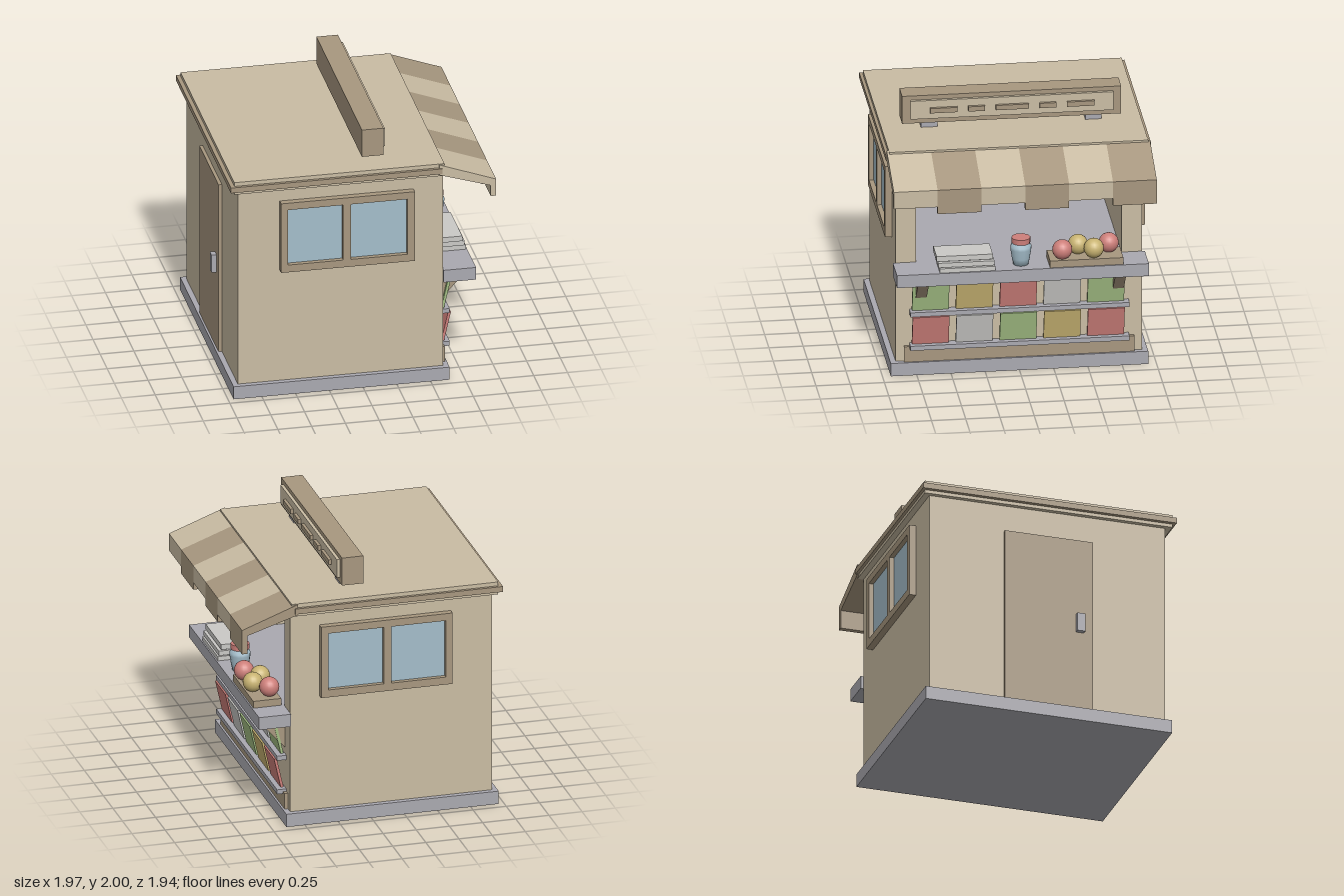
import * as THREE from 'three';

const mat = (name, color) => {
  const m = new THREE.MeshStandardMaterial({ color });
  m.name = name;
  return m;
};

export function createModel() {
  const wall = mat('tan wall', 0xc9bca3), trim = mat('brown trim', 0xa7977f);
  const grey = mat('grey slab', 0xaaa9b0), glass = mat('blue glass', 0xa4bdca);
  const red = mat('red', 0xcd7f7a), green = mat('green', 0xa3be84);
  const yellow = mat('yellow', 0xc8b372), white = mat('paper white', 0xcac9c6);

  const root = new THREE.Group();
  root.name = 'kiosk';
  const add = (name, geo, material, parent = root) => {
    const m = new THREE.Mesh(geo, material);
    m.name = name;
    parent.add(m);
    return m;
  };
  // Box given by its limits on each axis
  const box = (name, material, x0, x1, y0, y1, z0, z1, parent) => {
    const m = add(name, new THREE.BoxGeometry(x1 - x0, y1 - y0, z1 - z0), material, parent);
    m.position.set((x0 + x1) / 2, (y0 + y1) / 2, (z0 + z1) / 2);
    return m;
  };
  // Profile in x and y, extruded along z
  const prism = (name, material, pts, z0, z1) => {
    const shape = new THREE.Shape(pts.map(p => new THREE.Vector2(...p)));
    const geo = new THREE.ExtrudeGeometry(shape, { depth: z1 - z0, bevelEnabled: false });
    add(name, geo, material).position.z = z0;
  };

  // Base and walls around the open serving alcove
  box('base', grey, -0.96, 0.64, 0, 0.1, -0.94, 0.94);
  box('lowerWall', wall, -0.92, 0.6, 0.1, 0.86, -0.9, 0.9);
  box('backWall', wall, -0.92, -0.55, 0.86, 1.54, -0.9, 0.9);
  for (const s of [-1, 1]) box('sideWall', wall, -0.55, 0.6, 0.86, 1.54, s > 0 ? 0.75 : -0.9, s > 0 ? 0.9 : -0.75);
  box('header', wall, -0.92, 0.6, 1.54, 1.65, -0.9, 0.9);
  box('kickPlate', trim, 0.6, 0.625, 0.1, 0.22, -0.84, 0.84);

  // Roof
  box('roofSlab', wall, -0.955, 0.6, 1.645, 1.742, -0.945, 0.945);
  box('roofFascia', trim, -0.985, 0.58, 1.67, 1.712, -0.968, 0.968);

  // Striped awning with alternating valance lengths
  for (let i = 0; i < 6; i++) {
    const z = 0.96 - i * 0.32, drop = i % 2 ? 1.4 : 1.455;
    prism('awningStripe', i % 2 ? trim : wall,
      [[0.56, 1.742], [0.56, 1.66], [0.94, 1.54], [0.94, drop], [0.98, drop], [0.98, 1.587]], z - 0.32, z);
  }

  // Roof sign with plain raised bars
  box('signBoard', trim, 0.02, 0.18, 1.785, 2, -0.8, 0.8);
  box('signPanel', wall, 0.18, 0.203, 1.825, 1.967, -0.74, 0.74);
  for (const [a, b] of [[0.4, 0.6], [0.2, 0.32], [-0.12, 0.12], [-0.32, -0.2], [-0.6, -0.4]])
    box('signBar', trim, 0.2, 0.225, 1.875, 1.912, a, b);
  for (const z of [-0.6, 0.6]) box('signFoot', grey, 0.04, 0.16, 1.74, 1.785, z - 0.06, z + 0.06);

  // Windows on both ends
  for (const s of [-1, 1]) {
    const win = new THREE.Group();
    win.name = 'window';
    root.add(win);
    const rect = (P, x0, x1, y0, y1) => {
      const p = new P();
      p.moveTo(x0, y0); p.lineTo(x1, y0); p.lineTo(x1, y1); p.lineTo(x0, y1); p.closePath();
      return p;
    };
    const frame = rect(THREE.Shape, -0.61, 0.38, 0.985, 1.54);
    for (const [a, b] of [[-0.56, -0.15], [-0.092, 0.325]]) {
      frame.holes.push(rect(THREE.Path, a, b, 1.043, 1.485));
      box('windowPane', glass, a, b, 1.043, 1.485, s * 0.911 - 0.004, s * 0.911 + 0.004, win);
    }
    const geo = new THREE.ExtrudeGeometry(frame, { depth: 0.05, bevelEnabled: false });
    add('windowFrame', geo, trim, win).position.z = s > 0 ? 0.9 : -0.95;
  }

  // Door and handle
  box('door', trim, -0.945, -0.92, 0.1, 1.44, -0.33, 0.34);
  box('doorHandle', grey, -0.982, -0.945, 0.705, 0.845, 0.21, 0.27);

  // Counter, inner worktop and brackets
  box('counter', grey, 0.6, 0.84, 0.775, 0.872, -0.92, 0.92);
  box('worktop', grey, -0.55, 0.6, 0.86, 0.872, -0.75, 0.75);
  for (const z of [-0.72, 0.72])
    prism('bracket', trim, [[0.6, 0.775], [0.6, 0.55], [0.8, 0.775]], z - 0.04, z + 0.04);

  // Back shelves with goods
  const goods = [yellow, red, green];
  [0.872, 1.11, 1.36].forEach((y, row) => {
    if (row) box('backShelf', grey, -0.55, -0.36, y - 0.03, y, -0.745, 0.745);
    for (let i = 0; i < 8; i++) {
      const z = 0.648 - i * 0.185;
      const m = goods[(i + [0, 2, 1][row]) % 3];
      box('shelfGoods', m, -0.52, -0.4, y, y + (row ? 0.15 : 0.105), z - 0.068, z + 0.068);
    }
  });

  // Outer racks with leaning magazines
  [[0.24, [red, white, green, yellow, red]], [0.503, [green, yellow, red, white, green]]].forEach(([y, cols]) => {
    box('rackShelf', grey, 0.6, 0.67, y - 0.035, y, -0.8, 0.8);
    cols.forEach((m, i) => {
      const mag = add('rackMagazine', new THREE.BoxGeometry(0.02, 0.232, 0.268), m);
      mag.position.set(0.647, y + 0.116, 0.65 - i * 0.32);
      mag.rotation.z = -0.22;
    });
  });

  // Paper stack on the counter
  box('paper', white, 0.62, 0.83, 0.872, 0.905, 0.2, 0.605);
  box('paper', white, 0.61, 0.82, 0.91, 0.945, 0.205, 0.615);
  box('paper', white, 0.6, 0.8, 0.95, 0.99, 0.215, 0.625);
  box('paperGap', white, 0.63, 0.79, 0.9, 0.955, 0.225, 0.595);

  // Jar with lid
  const profile = [[0, 0], [0.056, 0], [0.066, 0.05], [0.077, 0.12], [0.077, 0.14], [0.058, 0.175], [0, 0.175]];
  add('jar', new THREE.LatheGeometry(profile.map(p => new THREE.Vector2(...p)), 14), glass).position.set(0.72, 0.872, 0);
  add('jarLid', new THREE.CylinderGeometry(0.07, 0.07, 0.04, 10), red).position.set(0.72, 1.06, 0);

  // Fruit tray
  box('fruitTray', trim, 0.62, 0.83, 0.872, 0.925, -0.735, -0.2);
  for (const [x, z, m] of [[0.775, -0.295, red], [0.69, -0.42, yellow], [0.775, -0.525, yellow], [0.685, -0.645, red]])
    add('fruit', new THREE.SphereGeometry(0.073, 20, 14), m).position.set(x, 0.99, z);

  return root;
}
